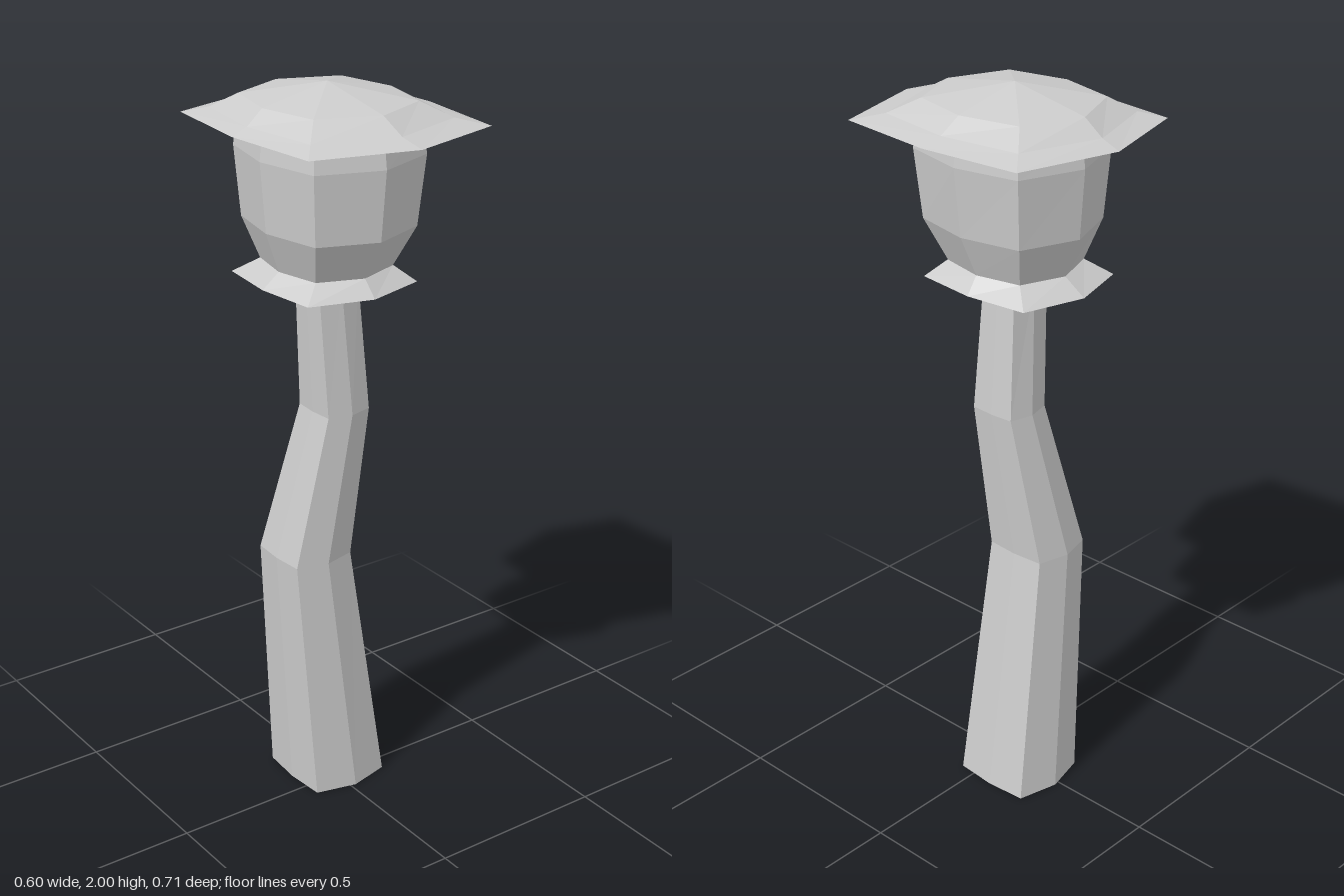
import * as THREE from 'three';

const material = new THREE.MeshStandardMaterial({ color: 0xcccccc, flatShading: true });

// Eight-sided ring: centre x/z, half widths, and how far the corners reach.
function ring(y, cx, cz, rx, rz, kx = 0.82, kz = 0.74) {
  const shape = [[0, 1], [kx, kz], [1, 0], [kx, -kz], [0, -1], [-kx, -kz], [-1, 0], [-kx, kz]];
  return shape.map(([x, z]) => new THREE.Vector3(cx + x * rx, y, cz + z * rz));
}

// Faceted skin through rings; a ring of zero size closes an end.
function loft(name, rings) {
  const points = [];
  const triangle = (a, b, c) => {
    if (a.distanceTo(b) > 1e-5 && b.distanceTo(c) > 1e-5 && c.distanceTo(a) > 1e-5) points.push(a, b, c);
  };
  for (let r = 0; r < rings.length - 1; r++) {
    for (let i = 0; i < 8; i++) {
      const j = (i + 1) % 8;
      const low = rings[r], high = rings[r + 1];
      triangle(low[i], low[j], high[j]);
      triangle(low[i], high[j], high[i]);
    }
  }
  const geometry = new THREE.BufferGeometry().setFromPoints(points);
  geometry.computeVertexNormals();
  const mesh = new THREE.Mesh(geometry, material);
  mesh.name = name;
  return mesh;
}

export function createModel() {
  const group = new THREE.Group();
  group.name = 'lampPost';

  // Crooked tapering post
  group.add(loft('post', [
    ring(0, 0.015, -0.065, 0, 0),
    ring(0, 0.015, -0.065, 0.122, 0.14, 0.93, 0.8),
    ring(0.71, -0.057, -0.065, 0.094, 0.11, 0.93, 0.8),
    ring(1.13, 0.01, -0.023, 0.07, 0.082, 0.93, 0.8),
    ring(1.49, -0.016, -0.02, 0.066, 0.066, 0.93, 0.8),
  ]));

  // Flared collar under the lantern
  group.add(loft('collar', [
    ring(1.475, -0.017, -0.025, 0, 0),
    ring(1.475, -0.017, -0.025, 0.075, 0.085),
    ring(1.493, -0.018, -0.03, 0.188, 0.22, 0.9, 0.78),
    ring(1.535, -0.016, -0.022, 0.146, 0.167),
    ring(1.535, -0.016, -0.022, 0, 0),
  ]));

  // Bulging lantern body
  group.add(loft('lantern', [
    ring(1.535, -0.016, -0.022, 0.146, 0.167),
    ring(1.645, -0.015, -0.013, 0.19, 0.222),
    ring(1.83, -0.013, -0.012, 0.208, 0.238),
    ring(1.905, -0.013, -0.012, 0.2, 0.228),
  ]));

  // Wide brimmed roof
  group.add(loft('roof', [
    ring(1.905, -0.01, -0.012, 0, 0),
    ring(1.905, 0, -0.01, 0.3, 0.355, 0.91, 0.79),
    ring(1.922, -0.007, -0.015, 0.247, 0.292, 0.87, 0.755),
    ring(1.96, -0.012, -0.019, 0.195, 0.228, 0.81, 0.715),
    ring(2, -0.013, -0.02, 0, 0),
  ]));

  return group;
}
